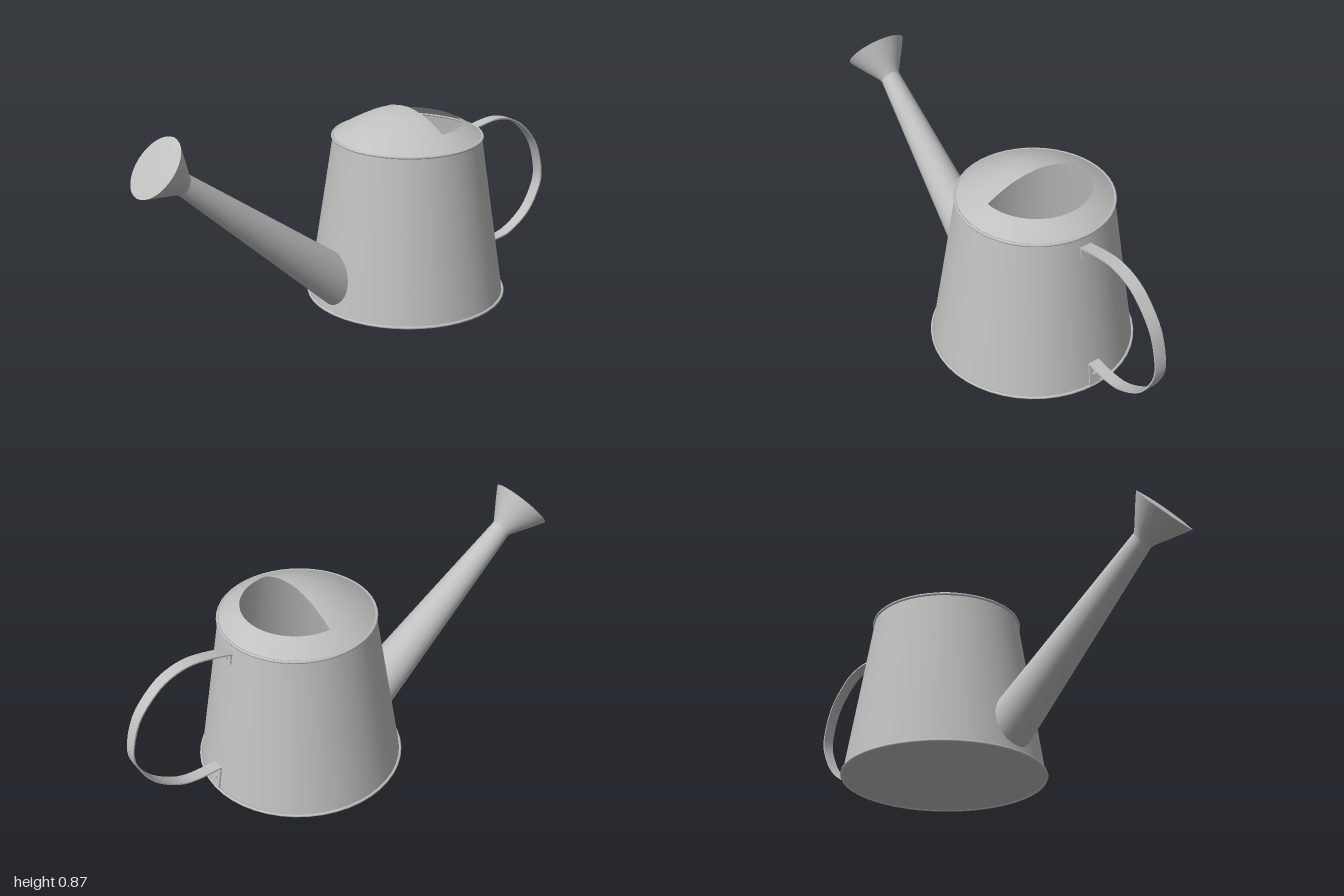
import * as THREE from 'three';
import { toCreasedNormals } from 'three/addons/utils/BufferGeometryUtils.js';

const BODY_Z = -0.235;
const wallRadius = (y) => 0.41 - 0.154 * y;

const zinc = new THREE.MeshStandardMaterial({ color: 0xc0c0c0, side: THREE.DoubleSide });
zinc.name = 'zinc grey';

function add(parent, name, geometry) {
  const mesh = new THREE.Mesh(geometry, zinc);
  mesh.name = name;
  parent.add(mesh);
  return mesh;
}

function lathe(points, segments = 48, start = 0, length = Math.PI * 2) {
  return new THREE.LatheGeometry(points.map(([r, y]) => new THREE.Vector2(r, y)), segments, start, length);
}

// Tapered tube whose lower end is trimmed to fit the conical wall
function spoutGeometry(from, to, r0, r1, sides = 32) {
  const axis = to.clone().sub(from).normalize();
  const u = new THREE.Vector3(1, 0, 0);
  const v = axis.clone().cross(u);
  const outside = (p) => Math.hypot(p.x, p.z - BODY_Z) > wallRadius(p.y);
  const positions = [], index = [];
  for (let ring = 0; ring < 2; ring++) {
    for (let j = 0; j < sides; j++) {
      const a = (j / sides) * Math.PI * 2;
      const r = ring ? r1 : r0;
      const p = (ring ? to : from).clone()
        .addScaledVector(u, r * Math.cos(a)).addScaledVector(v, r * Math.sin(a));
      if (ring === 0) {
        let lo = -0.3, hi = 0.3;
        for (let k = 0; k < 24; k++) {
          const mid = (lo + hi) / 2;
          if (outside(p.clone().addScaledVector(axis, mid))) hi = mid; else lo = mid;
        }
        p.addScaledVector(axis, lo);
      }
      positions.push(p.x, p.y, p.z);
    }
  }
  for (let j = 0; j < sides; j++) {
    const k = (j + 1) % sides;
    index.push(j, k, j + sides, k, k + sides, j + sides);
  }
  const g = new THREE.BufferGeometry();
  g.setAttribute('position', new THREE.Float32BufferAttribute(positions, 3));
  g.setIndex(index);
  g.computeVertexNormals();
  return g;
}

// Flat strap following a (z, y) path, centred on x = 0
function strapGeometry(path, width, thickness, divisions) {
  const curve = new THREE.SplineCurve(path.map(([z, y]) => new THREE.Vector2(z, y)));
  const outer = [], inner = [];
  for (let i = 0; i <= divisions; i++) {
    const p = curve.getPoint(i / divisions);
    const t = curve.getTangent(i / divisions);
    const n = new THREE.Vector2(-t.y, t.x).multiplyScalar(thickness / 2);
    outer.push(p.clone().add(n));
    inner.unshift(p.clone().sub(n));
  }
  const g = new THREE.ExtrudeGeometry(new THREE.Shape([...outer, ...inner]), { depth: width, bevelEnabled: false });
  g.translate(0, 0, -width / 2).rotateY(-Math.PI / 2);
  return toCreasedNormals(g, 0.7);
}

export function createModel() {
  const model = new THREE.Group();
  model.name = 'wateringCan';

  // Body, floor and rolled rims
  const can = new THREE.Group();
  can.name = 'can';
  can.position.z = BODY_Z;
  model.add(can);
  add(can, 'bodyWall', lathe([[wallRadius(0), 0.004], [wallRadius(0.34), 0.34], [wallRadius(0.68), 0.68]]));
  add(can, 'floor', lathe([[0, 0.004], [wallRadius(0), 0.004]]));
  for (const [name, r, y] of [['baseRim', 0.413, 0.006], ['topRim', 0.307, 0.682]]) {
    add(can, name, new THREE.TorusGeometry(r, 0.006, 8, 48).rotateX(Math.PI / 2)).position.y = y;
  }

  // Lid: domed front half, open back half with a sloping collar
  const collar = [[0.305, 0.685], [0.262, 0.713], [0.22, 0.736]];
  const dome = [[0.17, 0.761], [0.11, 0.784], [0.05, 0.796], [0, 0.8]];
  add(can, 'lidFront', lathe([...collar, ...dome], 28, -Math.PI / 2, Math.PI));
  add(can, 'lidCollarBack', lathe(collar, 28, Math.PI / 2, Math.PI));

  // Spout
  const spoutBase = new THREE.Vector3(0, 0.155, 0.165);
  const spoutTip = new THREE.Vector3(0, 0.692, 0.815);
  add(model, 'spout', spoutGeometry(spoutBase, spoutTip, 0.097, 0.042));

  // Sprinkler rose
  const rose = new THREE.Group();
  rose.name = 'rose';
  rose.position.set(0, 0.772, 0.916);
  rose.quaternion.setFromUnitVectors(new THREE.Vector3(0, 1, 0), spoutTip.clone().sub(spoutBase).normalize());
  model.add(rose);
  add(rose, 'roseCone', lathe([[0.042, -0.14], [0.046, -0.128], [0.064, -0.1], [0.1, -0.045], [0.128, 0]], 32));
  add(rose, 'roseFace', lathe([[0.128, 0], [0.09, 0.004], [0.045, 0.006], [0, 0.007]], 32));

  // Handle strap
  add(model, 'handle', strapGeometry([
    [-0.543, 0.636], [-0.62, 0.655], [-0.714, 0.667], [-0.8, 0.65], [-0.874, 0.604], [-0.955, 0.505],
    [-0.993, 0.364], [-0.965, 0.265], [-0.91, 0.188], [-0.82, 0.128], [-0.74, 0.109], [-0.63, 0.112],
  ], 0.05, 0.006, 44));

  // Riveted tabs fixing the strap to the wall
  for (const [name, y, height] of [['upperTab', 0.618, 0.042], ['lowerTab', 0.06, 0.1]]) {
    const tab = new THREE.Group();
    tab.name = name;
    tab.position.set(0, y, BODY_Z - wallRadius(y) - 0.004);
    tab.rotation.x = Math.atan(0.154);
    model.add(tab);
    add(tab, name + 'Plate', new THREE.BoxGeometry(0.05, height, 0.006));
    add(tab, name + 'Rivet', new THREE.CylinderGeometry(0.008, 0.01, 0.008, 12).rotateX(-Math.PI / 2)).position.z = -0.006;
  }
  return model;
}
